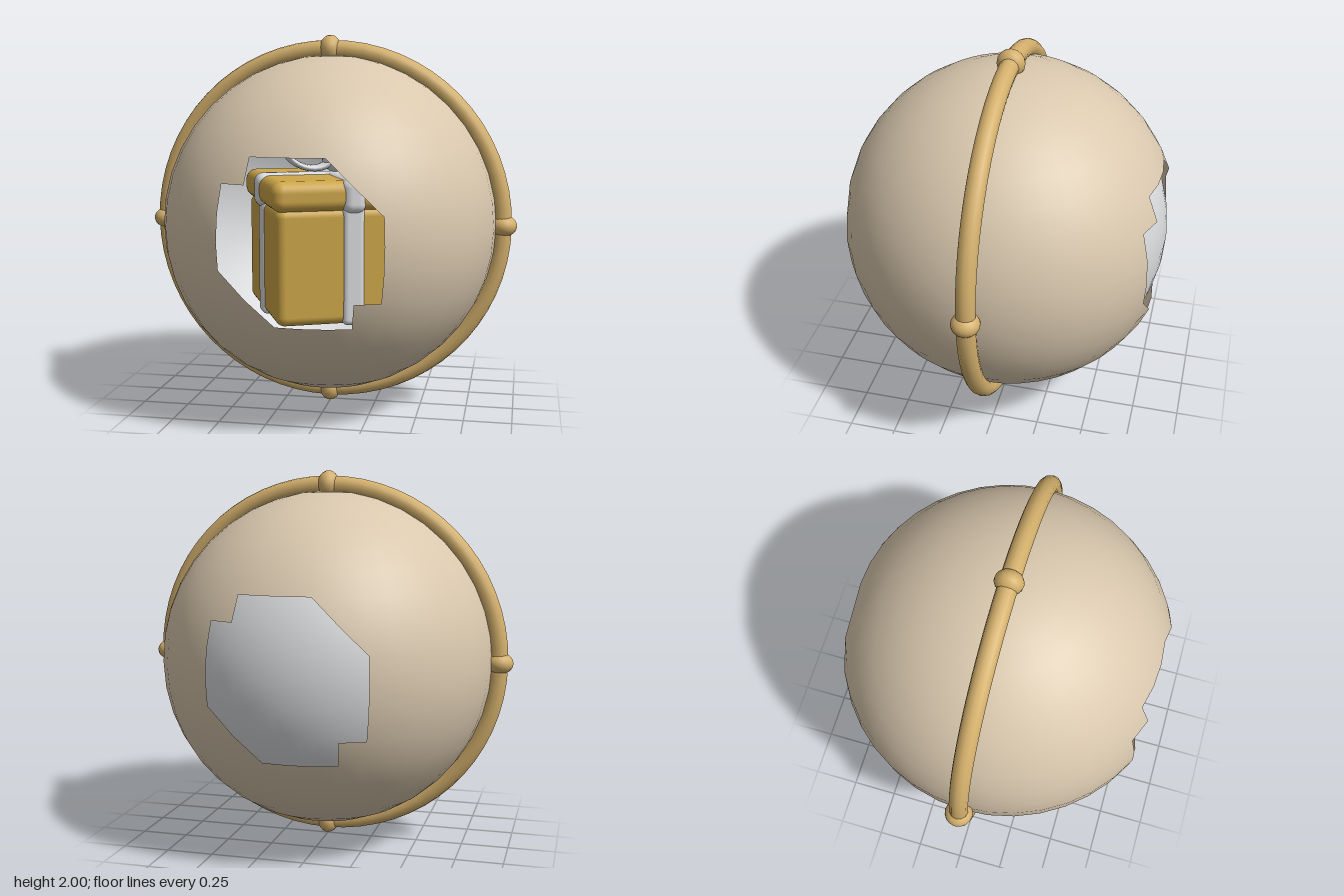
import * as THREE from 'three';
import { RoundedBoxGeometry } from 'three/addons/geometries/RoundedBoxGeometry.js';

const mat = (name, color, side = THREE.FrontSide) => {
  const m = new THREE.MeshStandardMaterial({ color, side });
  m.name = name;
  return m;
};

function add(parent, name, geometry, material, x = 0, y = 0, z = 0) {
  const mesh = new THREE.Mesh(geometry, material);
  mesh.name = name;
  mesh.position.set(x, y, z);
  parent.add(mesh);
  return mesh;
}

// Sphere without the triangles close to the front and back poles
function openSphere(radius, cosLimit) {
  const g = new THREE.SphereGeometry(radius, 40, 20);
  const p = g.attributes.position, src = g.index.array, kept = [];
  const c = new THREE.Vector3(), v = new THREE.Vector3();
  for (let i = 0; i < src.length; i += 3) {
    c.set(0, 0, 0);
    for (let k = 0; k < 3; k++) c.add(v.fromBufferAttribute(p, src[i + k]));
    if (Math.abs(c.normalize().z) < cosLimit) kept.push(src[i], src[i + 1], src[i + 2]);
  }
  g.setIndex(kept);
  return g;
}

export function createModel() {
  const beige = mat('beige shell', 0xd9c8ae, THREE.DoubleSide);
  const brass = mat('brass', 0xd4b06c);
  const gold = mat('gold box', 0xcda649);
  const silver = mat('silver', 0xd9dadc, THREE.DoubleSide);

  const model = new THREE.Group();
  model.name = 'giftBauble';
  const bauble = new THREE.Group();
  bauble.name = 'bauble';
  bauble.position.set(0, 1, 0.016);
  model.add(bauble);

  // Outer shell with window openings, and the silver back lining
  add(bauble, 'outerShell', openSphere(0.894, 0.888), beige);
  add(bauble, 'backLining',
    new THREE.SphereGeometry(0.842, 40, 20, Math.PI, Math.PI), silver);

  // Ring with four beads
  add(bauble, 'ring', new THREE.TorusGeometry(0.923, 0.05, 12, 64), brass);
  for (let i = 0; i < 4; i++) {
    const a = i * Math.PI / 2;
    const bead = add(bauble, 'ringBead', new THREE.SphereGeometry(0.073, 16, 12), brass,
      0.927 * Math.cos(a), 0.927 * Math.sin(a), 0);
    bead.rotation.z = a;
    bead.scale.set(1, 0.8, 1);
  }

  // Gift box, turned inside the shell
  const gift = new THREE.Group();
  gift.name = 'giftBox';
  gift.position.set(0, 0, -0.136);
  gift.rotation.y = 24.4 * Math.PI / 180;
  bauble.add(gift);
  const block = (name, w, h, d, r, m, y) =>
    add(gift, name, new RoundedBoxGeometry(w, h, d, 4, r), m, 0, y, 0);
  block('boxBody', 0.82, 0.62, 0.82, 0.05, gold, -0.2);
  block('boxLid', 0.87, 0.16, 0.87, 0.06, gold, 0.17);

  // Ribbon bands crossing the box and the lid
  for (const turn of [0, Math.PI / 2]) {
    block('bodyRibbon', 0.12, 0.63, 0.846, 0.03, silver, -0.2).rotation.y = turn;
    block('lidRibbon', 0.13, 0.185, 0.9, 0.05, silver, 0.17).rotation.y = turn;
  }

  // Bow
  add(gift, 'bowKnot', new THREE.SphereGeometry(0.072, 20, 14), silver, 0, 0.33, 0);
  for (const s of [-1, 1]) {
    const loop = add(gift, 'bowLoop', new THREE.TorusGeometry(0.13, 0.022, 10, 28), silver,
      s * 0.15, 0.39, 0);
    loop.scale.set(1.1, 0.8, 2.6);
    loop.rotation.z = s * 0.35;
  }
  return model;
}
